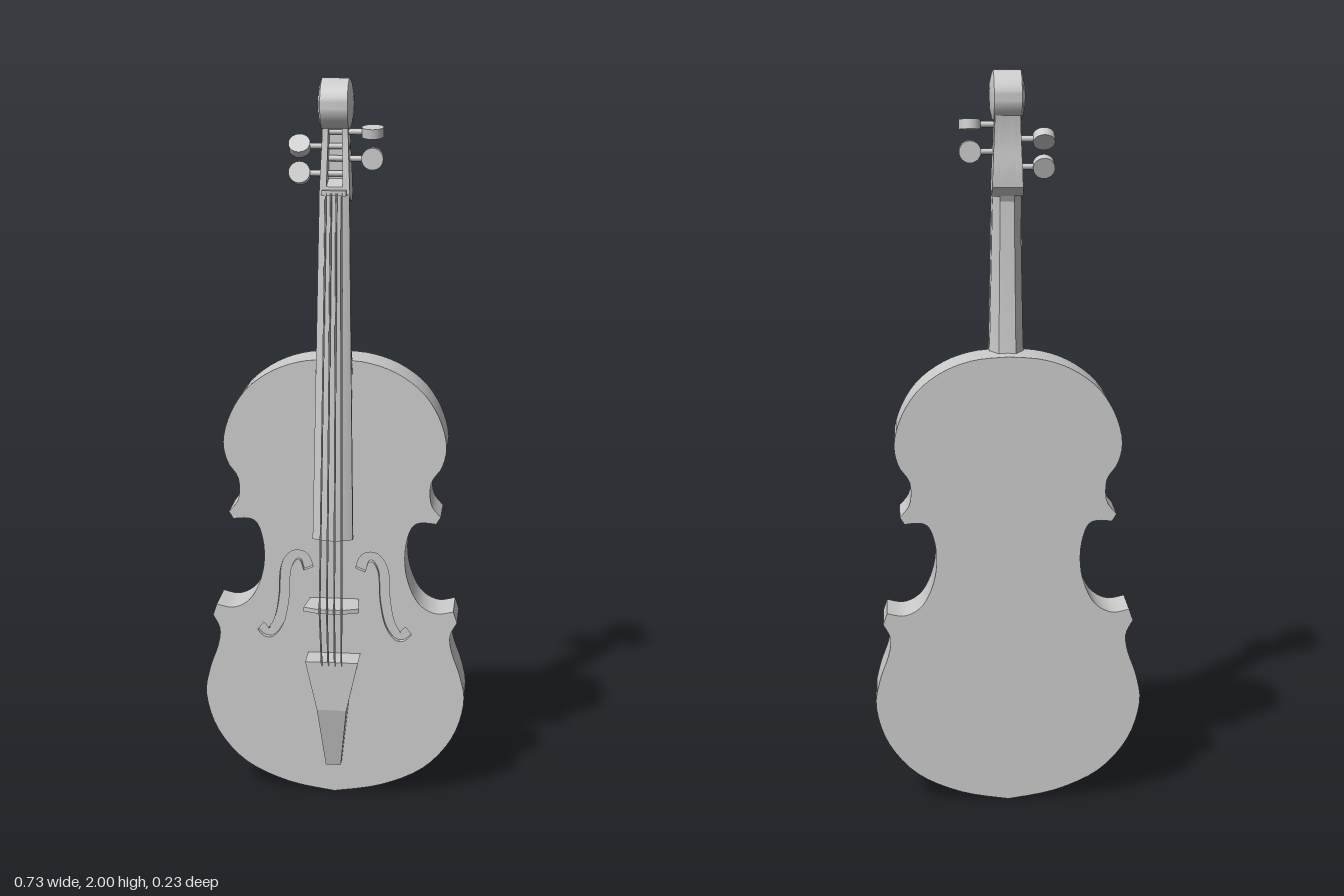
import * as THREE from 'three';
import { toCreasedNormals } from 'three/addons/utils/BufferGeometryUtils.js';

const V2 = (p) => new THREE.Vector2(p[0], p[1]);
const mat = new THREE.MeshStandardMaterial({ color: 0xcccccc, side: THREE.DoubleSide });

function part(parent, name, geometry, x = 0, y = 0, z = 0) {
  const m = new THREE.Mesh(geometry, mat);
  m.name = name;
  m.position.set(x, y, z);
  parent.add(m);
  return m;
}

// Solid through rings of points with equal counts, with closed ends
function loft(rings, crease = 0.5) {
  const n = rings[0].length, pos = [];
  const tri = (a, b, c) => pos.push(...a, ...b, ...c);
  for (let r = 0; r < rings.length - 1; r++) {
    for (let i = 0; i < n; i++) {
      const j = (i + 1) % n, A = rings[r], B = rings[r + 1];
      tri(A[i], A[j], B[j]);
      tri(A[i], B[j], B[i]);
    }
  }
  const first = rings[0], last = rings[rings.length - 1];
  for (let i = 1; i < n - 1; i++) {
    tri(first[0], first[i + 1], first[i]);
    tri(last[0], last[i], last[i + 1]);
  }
  const g = new THREE.BufferGeometry();
  g.setAttribute('position', new THREE.Float32BufferAttribute(pos, 3));
  return toCreasedNormals(g, crease);
}

const extrude = (shape, depth) =>
  toCreasedNormals(new THREE.ExtrudeGeometry(shape, { depth, bevelEnabled: false }), 0.5);

// Right half of the body outline: three curves meeting at sharp corners
function bodyOutline() {
  const bouts = [
    [[0, 0.003], [0.13, 0.027], [0.25, 0.083], [0.33, 0.175], [0.363, 0.28], [0.352, 0.36], [0.328, 0.43], [0.322, 0.48], [0.341, 0.52]],
    [[0.33, 0.552], [0.28, 0.545], [0.232, 0.575], [0.201, 0.645], [0.195, 0.72], [0.21, 0.785], [0.235, 0.805], [0.28, 0.803]],
    [[0.292, 0.823], [0.265, 0.86], [0.265, 0.92], [0.294, 0.965], [0.305, 1.025], [0.285, 1.1], [0.24, 1.17], [0.17, 1.222], [0.09, 1.25], [0, 1.258]],
  ];
  const half = bouts.flatMap((b) => new THREE.SplineCurve(b.map(V2)).getPoints(32));
  const mirror = half.slice(1, -1).reverse().map((p) => new THREE.Vector2(-p.x, p.y));
  return half.concat(mirror);
}

// Closed ribbon along the sound hole curve
function soundHole(side) {
  const curve = new THREE.SplineCurve([[0.072, 0.665], [0.085, 0.698], [0.114, 0.7], [0.136, 0.66], [0.141, 0.58], [0.155, 0.51], [0.182, 0.473], [0.207, 0.492]].map(V2));
  const a = [], b = [], n = 36;
  for (let i = 0; i <= n; i++) {
    const p = curve.getPoint(i / n), t = curve.getTangent(i / n), w = 0.014;
    a.push(new THREE.Vector2(side * (p.x - t.y * w), p.y + t.x * w));
    b.push(new THREE.Vector2(side * (p.x + t.y * w), p.y - t.x * w));
  }
  return new THREE.Path(a.concat(b.reverse()));
}

function addBody(g) {
  const outline = bodyOutline();
  part(g, 'bodyBackAndRibs', extrude(new THREE.Shape(outline), 0.109), 0, 0, -0.117);
  const top = new THREE.Shape(outline);
  top.holes.push(soundHole(1), soundHole(-1));
  part(g, 'bodyTopWithSoundHoles', extrude(top, 0.016), 0, 0, -0.008);
}

function addNeck(g) {
  // Faceted neck running into the body, flaring at the heel
  const neckRing = (y, w, zf, zb) => [
    [-w, y, zf], [-w, y, zf * 0.6 + zb * 0.4], [-w * 0.5, y, zb],
    [w * 0.5, y, zb], [w, y, zf * 0.6 + zb * 0.4], [w, y, zf],
  ];
  part(g, 'neck', loft([
    neckRing(1.22, 0.05, 0.02, -0.072), neckRing(1.27, 0.045, 0.018, -0.064),
    neckRing(1.66, 0.037, 0.003, -0.053), neckRing(1.71, 0.039, 0.002, -0.075),
  ], 0.3));

  // Fingerboard with an arched playing face
  const boardRing = (y, w, zBack, edge, crown) => {
    const ring = [[w, y, zBack], [-w, y, zBack]];
    for (let i = 0; i <= 8; i++) {
      const u = i / 4 - 1;
      ring.push([u * w, y, edge + crown * (1 - u * u)]);
    }
    return ring;
  };
  part(g, 'fingerboard', loft([boardRing(0.765, 0.055, 0.036, 0.052, 0.018), boardRing(1.7, 0.04, 0, 0.008, 0.01)]));
  part(g, 'nut', new THREE.BoxGeometry(0.064, 0.014, 0.026), 0, 1.705, 0.009);
}

function addHead(g) {
  // Pegbox side profiles as [z, y], tapering towards the top
  const cheek = [[0.006, 1.695], [-0.002, 1.78], [-0.012, 1.84], [-0.012, 1.89], [-0.085, 1.89], [-0.078, 1.845], [-0.08, 1.79], [-0.085, 1.75], [-0.083, 1.7], [-0.06, 1.675], [-0.03, 1.68]];
  const floor = [[0.006, 1.695], [0.003, 1.72], [-0.05, 1.735], [-0.05, 1.89], [-0.085, 1.89], [-0.078, 1.845], [-0.08, 1.79], [-0.085, 1.75], [-0.083, 1.7], [-0.06, 1.675], [-0.03, 1.68]];
  const slab = (profile, x0, x1) => {
    const geo = new THREE.ExtrudeGeometry(new THREE.Shape(profile.map(([z, y]) => new THREE.Vector2(-z, y))), { depth: x1 - x0, bevelEnabled: false });
    geo.rotateY(Math.PI / 2);
    // The rotation sends shape x to -z and extrusion depth to x
    geo.translate(x0, 0, 0);
    const p = geo.attributes.position;
    for (let i = 0; i < p.count; i++) p.setX(i, p.getX(i) * (1 - 0.2 * (p.getY(i) - 1.69) / 0.2));
    return toCreasedNormals(geo, 0.4);
  };
  part(g, 'pegboxLeftCheek', slab(cheek, 0.022, 0.041));
  part(g, 'pegboxRightCheek', slab(cheek, -0.041, -0.022));
  part(g, 'pegboxFloor', slab(floor, -0.022, 0.022));

  // Rounded scroll drum with gently domed ends
  const drum = [[0, -0.048], [0.03, -0.046], [0.055, -0.041], [0.067, -0.036], [0.067, 0.036], [0.055, 0.041], [0.03, 0.046], [0, 0.048]];
  const scroll = toCreasedNormals(new THREE.LatheGeometry(drum.map(V2), 48), 0.6);
  scroll.rotateZ(Math.PI / 2);
  part(g, 'scroll', scroll, 0, 1.933, -0.037);

  // Tuning pegs: side, height, turn of the flat head about the shaft
  const pegs = [[1, 1.86, 0.15], [-1, 1.822, 0.85], [1, 1.79, Math.PI / 2], [-1, 1.75, 1.25]];
  for (const [side, y, turn] of pegs) {
    const peg = new THREE.Group();
    peg.name = 'tuningPeg';
    peg.position.set(0, y, -0.04);
    const shaft = new THREE.CylinderGeometry(0.008, 0.008, 0.115, 16);
    shaft.rotateZ(Math.PI / 2);
    part(peg, 'pegShaft', shaft, side * 0.02);
    const head = new THREE.CylinderGeometry(0.029, 0.029, 0.026, 24);
    head.rotateX(turn);
    part(peg, 'pegHead', head, side * 0.097);
    g.add(peg);
  }
}

function addFittings(g) {
  // Upright bridge plate
  const bridge = extrude(new THREE.Shape([[-0.066, 0], [0.066, 0], [0.076, 0.09], [0.03, 0.108], [-0.03, 0.108], [-0.076, 0.09]].map(V2)), 0.012);
  bridge.rotateX(Math.PI / 2);
  // Turned so the plate's height points forward
  part(g, 'bridge', bridge, 0, 0.581, 0.002);

  // Solid tailpiece wedge
  const tailRing = (y, w, z) => [[w, y, 0], [-w, y, 0], [-w, y, z], [w, y, z]];
  part(g, 'tailpiece', loft([tailRing(0.095, 0.021, 0.037), tailRing(0.278, 0.041, 0.084), tailRing(0.42, 0.073, 0.086)], 0.1));

  // Strings from the tailpiece over the bridge to the nut
  for (let i = 0; i < 4; i++) {
    const k = i - 1.5;
    const path = new THREE.CurvePath();
    const pts = [[k * 0.018, 0.41, 0.085], [k * 0.02, 0.575, 0.111], [k * 0.014, 1.705, 0.022]].map((p) => new THREE.Vector3(...p));
    path.add(new THREE.LineCurve3(pts[0], pts[1]));
    path.add(new THREE.LineCurve3(pts[1], pts[2]));
    part(g, 'string', new THREE.TubeGeometry(path, 48, 0.0025, 6));
  }
}

export function createModel() {
  const g = new THREE.Group();
  g.name = 'violin';
  addBody(g);
  addNeck(g);
  addHead(g);
  addFittings(g);
  return g;
}
